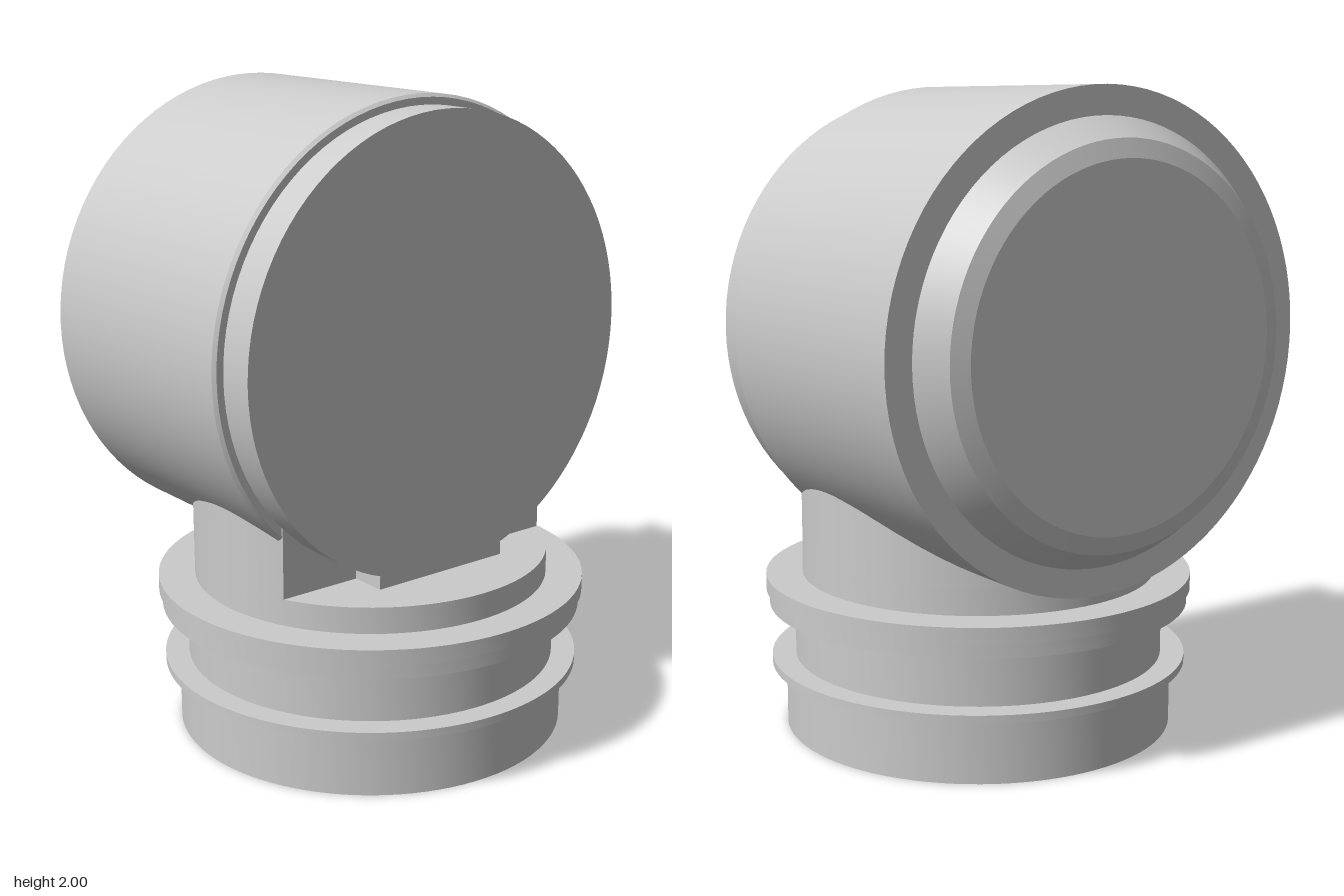
import * as THREE from 'three';
import { toCreasedNormals } from 'three/addons/utils/BufferGeometryUtils.js';

const material = new THREE.MeshStandardMaterial({ color: 0xcccccc });

function part(name, geometry) {
  const mesh = new THREE.Mesh(toCreasedNormals(geometry, 0.25), material);
  mesh.name = name;
  return mesh;
}

// Turned solid from [radius, height] pairs, listed upwards.
function turned(profile) {
  return new THREE.LatheGeometry(profile.map(([r, h]) => new THREE.Vector2(r, h)), 96);
}

export function createModel() {
  const model = new THREE.Group();
  model.name = 'elbowFitting';
  const baseZ = 0.03, neckR = 0.56, drumY = 1.27;
  const stepY = 0.572, cutZ = 0.265, discZ = 0.38;

  // Upright spigot with its two flanges and the collar
  const spigot = part('spigot', turned([
    [0, 0], [0.615, 0], [0.615, 0.2], [0.66, 0.2], [0.66, 0.225],
    [0.585, 0.225], [0.585, 0.395], [0.665, 0.395], [0.665, 0.44],
    [0.675, 0.44], [0.675, 0.49], [neckR, 0.49], [neckR, stepY], [0, stepY],
  ]));
  spigot.position.z = baseZ;
  model.add(spigot);

  // Neck with a flat cut at the front, running up into the drum
  const a = Math.asin((cutZ - baseZ) / neckR);
  const outline = new THREE.Shape();
  outline.absarc(0, 0, neckR, -a, Math.PI + a, false);
  outline.closePath();
  const neckGeometry = new THREE.ExtrudeGeometry(outline, {
    depth: 0.33, bevelEnabled: false, curveSegments: 72,
  });
  neckGeometry.rotateX(-Math.PI / 2);
  const neck = part('neck', neckGeometry);
  neck.position.set(0, stepY, baseZ);
  model.add(neck);

  // Horizontal drum: domed back cap, body with a fine front chamfer, front disc
  const drum = part('drum', turned([
    [0, -0.705], [0.53, -0.705], [0.585, -0.688], [0.645, -0.6],
    [0.73, -0.6], [0.73, 0.252], [0.72, 0.262],
    [0.698, 0.262], [0.698, discZ], [0, discZ],
  ]).rotateX(Math.PI / 2));
  drum.position.y = drumY;
  model.add(drum);

  // Small foot filling the gap below the front disc
  const foot = part('discFoot', new THREE.BoxGeometry(0.48, 0.05, discZ - 0.25));
  foot.position.set(0, 0.588, (discZ + 0.25) / 2 - 0.0005);
  model.add(foot);

  return model;
}
